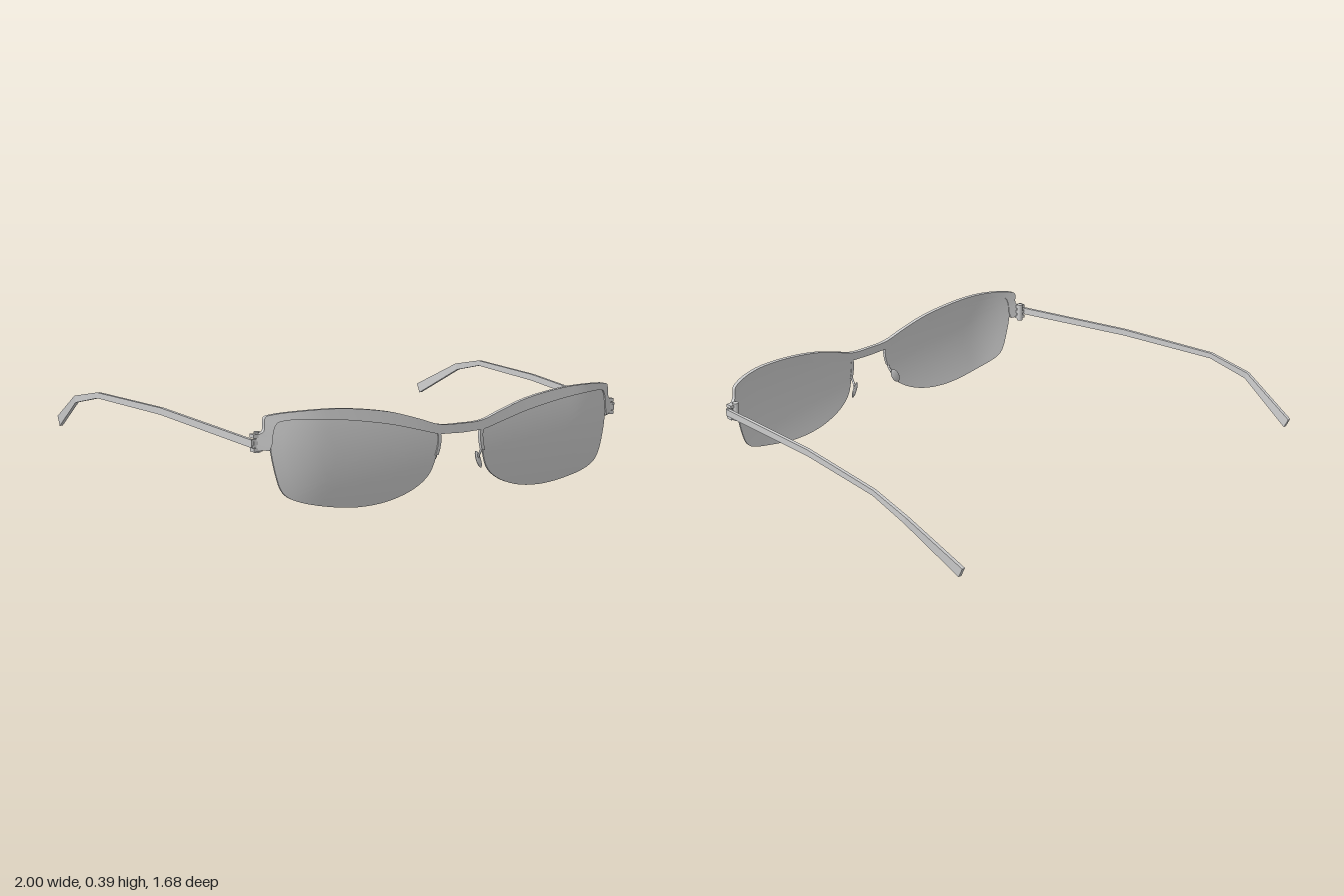
import * as THREE from 'three';
import { toCreasedNormals } from 'three/addons/utils/BufferGeometryUtils.js';

const V = (x, y, z = 0) => new THREE.Vector3(x, y, z);
const material = new THREE.MeshStandardMaterial({ color: 0xcccccc, side: THREE.DoubleSide });

// Wrapped front surface shared by the lenses and the brow bar
const wrap = (x, y) => {
  const a = Math.abs(x);
  return 0.833 - 0.07 * a * a - Math.max(0, a - 0.6) ** 2 - 0.45 * (0.26 - y) ** 2;
};

// Skin a list of equal-length loops and cap both ends; side -1 mirrors in x
function loft(sections, side = 1, crease = 0.6) {
  const loops = sections.map((loop) => {
    const l = loop.map((p) => V(p.x * side, p.y, p.z));
    return side < 0 ? l.reverse() : l;
  });
  const pos = [], n = loops[0].length;
  const tri = (...pts) => pts.forEach((p) => pos.push(p.x, p.y, p.z));
  for (let i = 0; i < loops.length - 1; i++) {
    for (let j = 0; j < n; j++) {
      const k = (j + 1) % n, A = loops[i], B = loops[i + 1];
      tri(A[j], A[k], B[k]);
      tri(A[j], B[k], B[j]);
    }
  }
  const first = loops[0], last = loops[loops.length - 1];
  for (let j = 1; j < n - 1; j++) {
    tri(first[0], first[j + 1], first[j]);
    tri(last[0], last[j], last[j + 1]);
  }
  const g = new THREE.BufferGeometry();
  g.setAttribute('position', new THREE.Float32BufferAttribute(pos, 3));
  return toCreasedNormals(g, crease);
}

// Lens: rings grow over the front face, then shrink over the back face
function lensGeometry(side) {
  const outline = [
    [0.107, 0.265], [0.2, 0.295], [0.33, 0.328], [0.54, 0.361], [0.7, 0.371], [0.785, 0.36],
    [0.805, 0.29], [0.786, 0.16], [0.757, 0.085], [0.715, 0.055], [0.57, 0.018], [0.43, 0.004],
    [0.3, 0.018], [0.195, 0.058], [0.14, 0.105], [0.115, 0.165], [0.108, 0.21],
  ].map(([x, y]) => V(x, y));
  const rim = new THREE.CatmullRomCurve3(outline, true).getPoints(72).slice(0, -1);
  const ring = (s, dz) => rim.map((p) => {
    const x = 0.46 + s * (p.x - 0.46), y = 0.19 + s * (p.y - 0.19);
    return V(x, y, wrap(x, y) + dz);
  });
  const steps = [0.01, 0.15, 0.3, 0.45, 0.6, 0.75, 0.88, 1];
  const front = steps.map((s) => ring(s, -0.002));
  const back = steps.map((s) => ring(s, -0.01)).reverse();
  return loft([...front, ...back], side);
}

// Brow bar: lower and upper rails from the bridge to the end piece
function browGeometry() {
  const half = [ // lower x, y, upper x, y
    [0.06, 0.262, 0.06, 0.297], [0.105, 0.264, 0.11, 0.303], [0.2, 0.288, 0.2, 0.332],
    [0.33, 0.32, 0.33, 0.368], [0.54, 0.353, 0.54, 0.395], [0.7, 0.364, 0.7, 0.395],
    [0.765, 0.36, 0.8, 0.384], [0.784, 0.352, 0.822, 0.375], [0.797, 0.32, 0.828, 0.325],
    [0.8, 0.285, 0.85, 0.305], [0.81, 0.25, 0.855, 0.255],
  ];
  const mirrored = half.map(([a, b, c, d]) => [-a, b, -c, d]).reverse();
  const all = [...mirrored, [0, 0.26, 0, 0.297], ...half];
  const rail = (k) => new THREE.CatmullRomCurve3(all.map((r) => V(r[k], r[k + 1]))).getPoints(88);
  const lower = rail(0), upper = rail(2);
  const at = (p, dz) => V(p.x, p.y, wrap(p.x, p.y) + dz);
  return loft(lower.map((l, i) => [at(l, 0.005), at(l, -0.013), at(upper[i], -0.013), at(upper[i], 0.005)]));
}

// Temple arm: flat bar swept along a bent centre line
function templeGeometry(side) {
  const path = [ // x, y, z, half height
    [0.866, 0.278, 0.722, 0.015], [0.927, 0.325, 0.1, 0.014], [0.981, 0.335, -0.37, 0.012],
    [0.993, 0.296, -0.565, 0.015], [0.955, 0.164, -0.828, 0.023],
  ];
  return loft(path.map(([x, y, z, h], i) => {
    const a = path[Math.max(0, i - 1)], b = path[Math.min(path.length - 1, i + 1)];
    const t = V(0, b[1] - a[1], b[2] - a[2]).normalize();
    const uy = -t.z * h, uz = t.y * h, w = 0.007;
    return [V(x + w, y - uy, z - uz), V(x - w, y - uy, z - uz), V(x - w, y + uy, z + uz), V(x + w, y + uy, z + uz)];
  }), side, 0.1);
}

// Slim strip down the inner lens edge that carries the nose pad
function padStripGeometry(side) {
  const pts = [V(0.108, 0.28), V(0.1, 0.25), V(0.104, 0.21), V(0.112, 0.18)];
  const rows = new THREE.CatmullRomCurve3(pts).getPoints(10);
  return loft(rows.map((p) => {
    const z = wrap(p.x, p.y), w = 0.007;
    return [V(p.x - w, p.y, z + 0.003), V(p.x + w, p.y, z + 0.003), V(p.x + w, p.y, z - 0.012), V(p.x - w, p.y, z - 0.012)];
  }), side);
}

export function createModel() {
  const model = new THREE.Group();
  model.name = 'eyeglasses';
  const add = (parent, name, geometry, x = 0, y = 0, z = 0) => {
    const mesh = new THREE.Mesh(geometry, material);
    mesh.name = name;
    mesh.position.set(x, y, z);
    parent.add(mesh);
    return mesh;
  };

  add(model, 'browBar', browGeometry());

  for (const side of [1, -1]) {
    const label = side > 0 ? 'left' : 'right';
    add(model, label + 'Lens', lensGeometry(side));
    add(model, label + 'Temple', templeGeometry(side));

    // Hinge: pin barrel, stacked knuckles and the plate joining the temple
    const hinge = new THREE.Group();
    hinge.name = label + 'Hinge';
    model.add(hinge);
    add(hinge, 'hingePin', new THREE.CylinderGeometry(0.013, 0.013, 0.078, 16), side * 0.838, 0.28, 0.7);
    for (const y of [0.254, 0.28, 0.306]) {
      add(hinge, 'hingeKnuckle', new THREE.BoxGeometry(0.036, 0.014, 0.03), side * 0.848, y, 0.711);
    }
    add(hinge, 'hingePlate', new THREE.BoxGeometry(0.03, 0.034, 0.01), side * 0.855, 0.279, 0.718);

    // Nose pad with its wire arm
    add(model, label + 'PadStrip', padStripGeometry(side));
    const wire = [V(0.11, 0.19, 0.825), V(0.108, 0.17, 0.815), V(0.112, 0.153, 0.8), V(0.121, 0.14, 0.788)];
    const curve = new THREE.CatmullRomCurve3(wire.map((p) => V(p.x * side, p.y, p.z)));
    add(model, label + 'PadArm', new THREE.TubeGeometry(curve, 12, 0.005, 8));
    const pad = add(model, label + 'NosePad', new THREE.SphereGeometry(1, 20, 14), side * 0.121, 0.135, 0.786);
    pad.scale.set(0.008, 0.037, 0.018);
    pad.rotation.set(0, side * 2.2, side * 0.4, 'ZYX');
  }
  return model;
}
